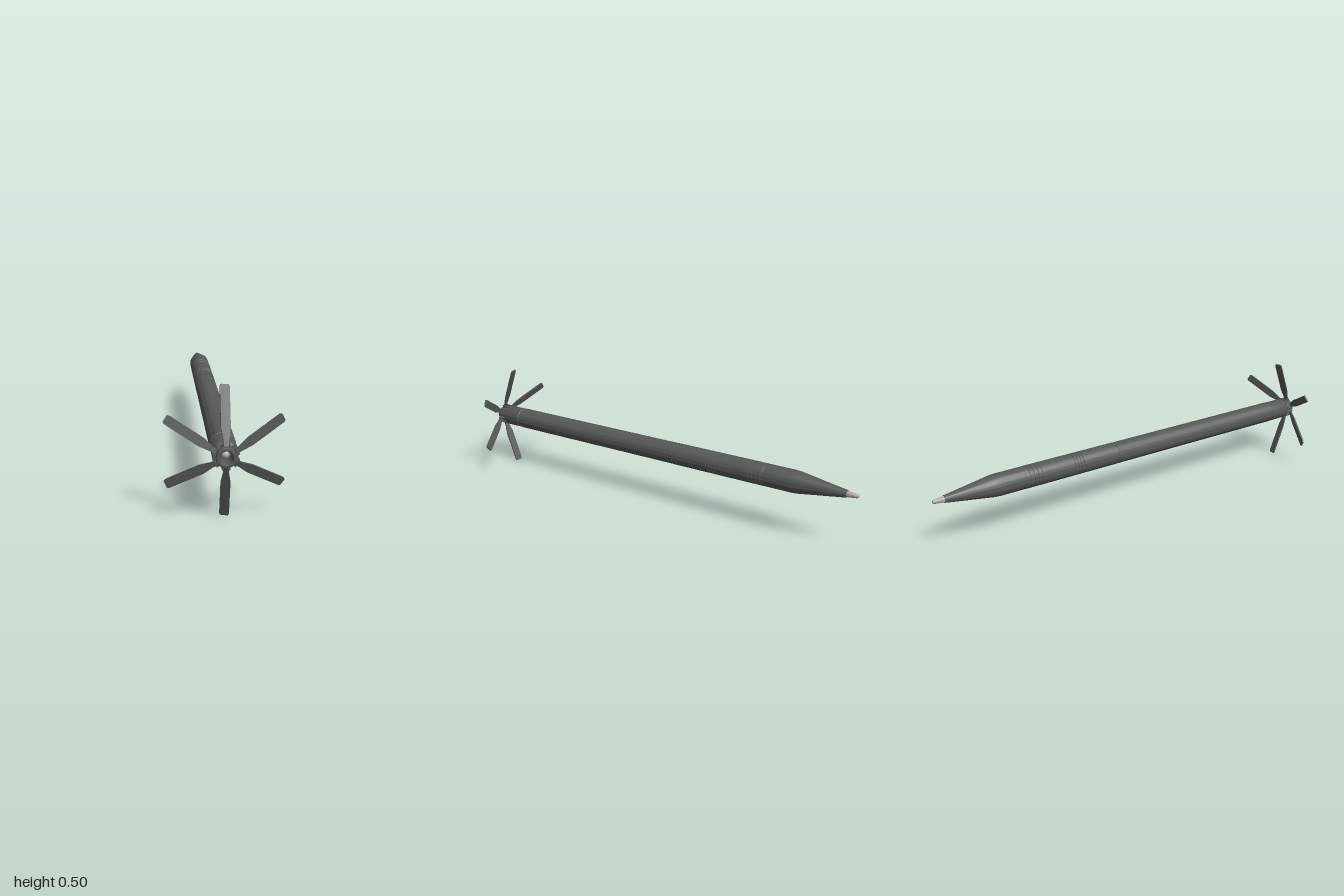
import * as THREE from 'three';
import { toCreasedNormals } from 'three/addons/utils/BufferGeometryUtils.js';

const AXIS_Y = 0.25;

// Surface of revolution along the long axis; points are [radius, distance towards the nose]
function revolve(points, segments = 48) {
  const geo = new THREE.LatheGeometry(points.map(([r, d]) => new THREE.Vector2(r, d)), segments);
  geo.rotateX(-Math.PI / 2);
  return toCreasedNormals(geo, 0.5);
}

export function createModel() {
  const model = new THREE.Group();
  model.name = 'finnedRocket';

  const bodyGrey = new THREE.MeshStandardMaterial({ name: 'dark grey green', color: 0x555a55 });
  const tipGrey = new THREE.MeshStandardMaterial({ name: 'light metal', color: 0xa8a8a5 });

  const axis = new THREE.Group();
  axis.name = 'rocketBody';
  axis.position.y = AXIS_Y;
  model.add(axis);

  const add = (parent, name, geo, mat) => {
    const mesh = new THREE.Mesh(geo, mat);
    mesh.name = name;
    parent.add(mesh);
    return mesh;
  };

  // Tail section with recessed nozzle and fin hub
  add(axis, 'tailNozzle', revolve([
    [0, -0.95], [0.02, -0.95], [0.024, -0.995], [0.027, -1], [0.035, -1], [0.038, -0.995],
    [0.038, -0.955], [0.047, -0.95], [0.049, -0.945], [0.049, -0.85], [0.047, -0.848], [0.047, -0.838],
  ]), bodyGrey);

  const plug = add(axis, 'nozzlePlug', new THREE.SphereGeometry(0.015, 24, 12), tipGrey);
  plug.position.z = 0.953;

  // Long motor tube
  add(axis, 'motorTube', revolve([
    [0.046, -0.84], [0.05, -0.838], [0.05, 0.116], [0.048, 0.117],
  ]), bodyGrey);

  // Forward section with two sets of ring grooves
  const ringed = [[0.048, 0.117], [0.0505, 0.118]];
  for (const d of [0.305, 0.32, 0.335, 0.35, 0.515, 0.535, 0.555, 0.575]) {
    ringed.push([0.0505, d - 0.002], [0.0485, d - 0.001], [0.0485, d + 0.001], [0.0505, d + 0.002]);
  }
  ringed.push([0.0505, 0.582], [0.05, 0.583]);
  add(axis, 'groovedSection', revolve(ringed), bodyGrey);

  // Tapered nose and metal tip
  add(axis, 'noseCone', revolve([
    [0.05, 0.583], [0.05, 0.71], [0.0485, 0.735], [0.016, 0.95], [0, 0.95],
  ]), bodyGrey);
  add(axis, 'noseTip', revolve([
    [0.0135, 0.948], [0.0125, 0.96], [0.009, 0.993], [0.006, 1], [0, 1],
  ], 32), tipGrey);

  // Folding blade: narrow root, wide blade, clipped tip corners
  const length = 0.222;
  const half = 0.018;
  const thickness = 0.007;
  const outline = new THREE.Shape([
    [-0.01, 0], [0.01, 0], [0.01, 0.018], [half, 0.066], [half, length - 0.008],
    [half - 0.004, length], [-half + 0.004, length], [-half, length - 0.008], [-half, 0.066], [-0.01, 0.018],
  ].map(([x, y]) => new THREE.Vector2(x, y)));
  const blade = new THREE.ExtrudeGeometry(outline, { depth: thickness, bevelEnabled: false });
  blade.translate(0, 0, -thickness / 2);
  blade.rotateY(0.19); // slight spin pitch
  blade.rotateX(-0.367); // swept towards the nose
  blade.translate(0, 0.04, 0.985);

  const lug = new THREE.BoxGeometry(0.005, 0.016, 0.036);

  for (let i = 0; i < 6; i++) {
    const fin = new THREE.Group();
    fin.name = 'fin' + (i + 1);
    fin.rotation.z = (i * Math.PI) / 3;
    add(fin, 'finBlade', blade, bodyGrey);
    for (const side of [-1, 1]) {
      add(fin, 'hingeLug', lug, bodyGrey).position.set(side * 0.0125, 0.04, 0.97);
    }
    axis.add(fin);
  }

  return model;
}
